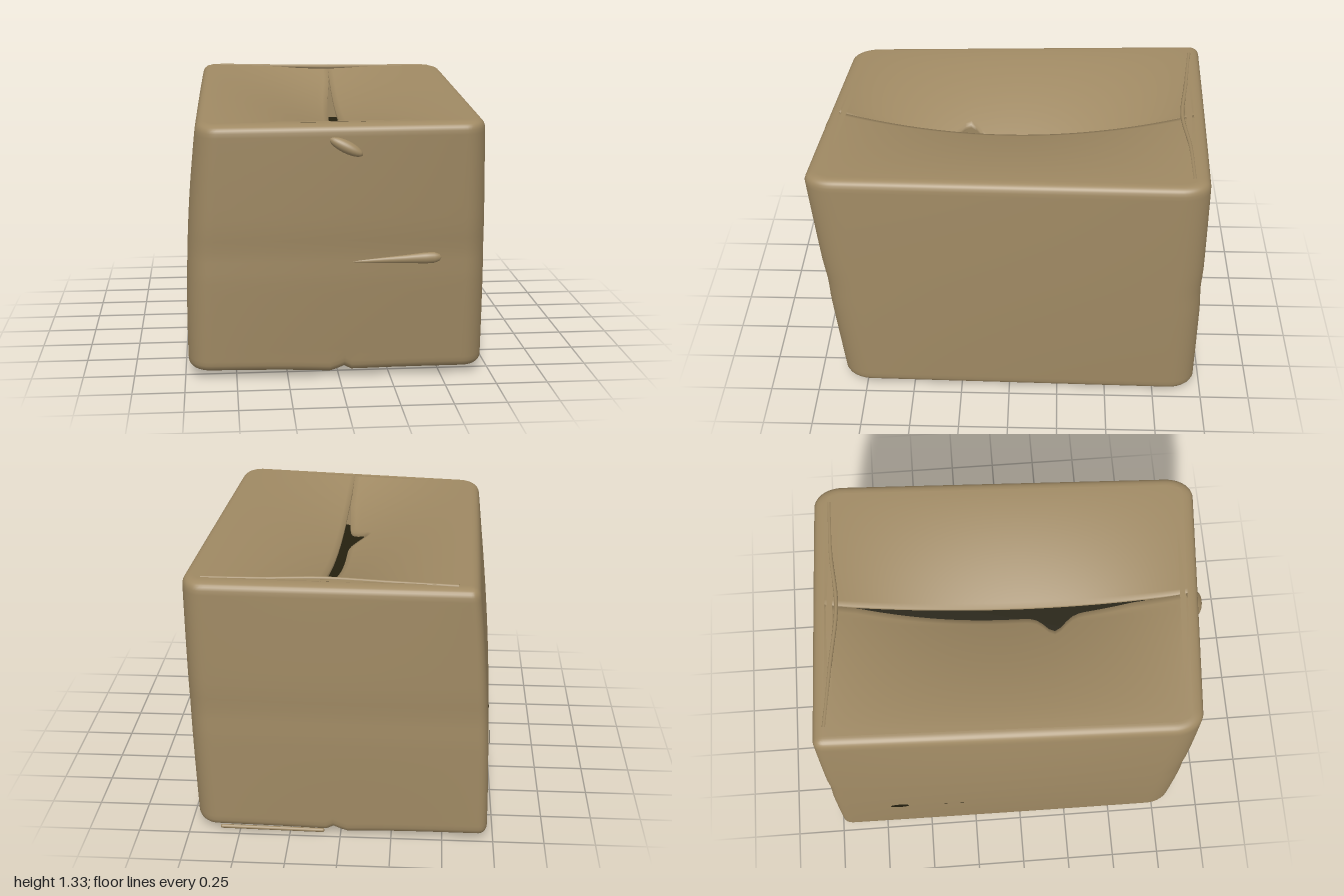
import * as THREE from 'three';
import { mergeVertices } from 'three/addons/utils/BufferGeometryUtils.js';

const V = (x, y, z) => new THREE.Vector3(x, y, z);

// Corners of the sagging carton, indexed by [bottom/top][back/front][-x/+x]
const CORNERS = [
  [[V(-0.72, 0.02, -0.995), V(0.72, 0.015, -0.965)], [V(-0.735, 0.04, 0.85), V(0.715, 0.035, 0.86)]],
  [[V(-0.64, 1.325, -1.0), V(0.755, 1.315, -0.955)], [V(-0.68, 1.258, 0.895), V(0.68, 1.28, 1.0)]],
];

// Maps the unit cube (-1..1) onto the warped carton
function warp(x, y, z) {
  // upright edges: crisp at the back -x corner, softly crushed at the others
  const R = x < 0 && z < 0 ? 0.06 : 0.15;
  const cx = (Math.abs(x) - 1 + R) / R, cz = (Math.abs(z) - 1 + R) / R;
  if (cx > 0 && cz > 0) {
    const k = Math.max(cx, cz) / Math.hypot(cx, cz);
    x = Math.sign(x) * (1 - R + R * cx * k);
    z = Math.sign(z) * (1 - R + R * cz * k);
  }
  const a = (x + 1) / 2, b = (y + 1) / 2, c = (z + 1) / 2;
  const plane = (p) => {
    const back = p[0][0].clone().lerp(p[0][1], a);
    return back.lerp(p[1][0].clone().lerp(p[1][1], a), c);
  };
  const p = plane(CORNERS[0]).lerp(plane(CORNERS[1]), b);
  // soft bulges and dents in the panels
  const sag = 1 - y * y;
  p.x += (x < 0 ? 0.034 : 0.012) * x * sag * (1 - 0.5 * z * z);
  p.z += 0.01 * z * sag * (1 - x * x) - 0.006 * z * Math.exp(-(((y + 0.02) / 0.12) ** 2));
  return p;
}

function smooth(geometry) {
  geometry.deleteAttribute('normal');
  geometry.deleteAttribute('uv');
  const g = mergeVertices(geometry, 1e-5);
  g.computeVertexNormals();
  return g;
}

// Rounded walls and floor, open on top inside a narrow rim
function bodyGeometry() {
  const g = new THREE.BoxGeometry(2, 2, 2, 64, 36, 56);
  const pos = g.attributes.position, unit = [], r = 0.065;
  for (let i = 0; i < pos.count; i++) {
    const p = V().fromBufferAttribute(pos, i);
    for (const k of ['x', 'y', 'z']) p[k] = Math.sin(p[k] * Math.PI / 2);
    unit.push(p.clone());
    // round the edges around the top and bottom
    const m = Math.max(Math.abs(p.x), Math.abs(p.z));
    const em = (m - 1 + r) / r, ey = (Math.abs(p.y) - 1 + r) / r;
    if (em > 0 && ey > 0) {
      const k = Math.max(em, ey) / Math.hypot(em, ey);
      const inset = (1 - r + r * em * k) / m;
      p.set(p.x * inset, Math.sign(p.y) * (1 - r + r * ey * k), p.z * inset);
    }
    const q = warp(p.x, p.y, p.z);
    // bottom flaps hang towards a seam, one a little lower than the other
    if (p.y < -0.9) {
      const s = p.x - 0.03;
      q.y += 0.025 * Math.exp(-((s / 0.04) ** 2)) - (s < 0 ? 0.02 : 0.01) * Math.exp(-3 * Math.abs(s));
    }
    pos.setXYZ(i, q.x, q.y, q.z);
  }
  const keep = [], idx = g.index.array;
  for (let i = 0; i < idx.length; i += 3) {
    const tri = [idx[i], idx[i + 1], idx[i + 2]];
    const open = tri.every((n) => unit[n].y > 0.999 && Math.abs(unit[n].x) < 0.92 && Math.abs(unit[n].z) < 0.92);
    if (!open) keep.push(...tri);
  }
  g.setIndex(keep);
  g.clearGroups();
  return smooth(g);
}

// Top flap from the side rim to the seam, dipping in the middle, with a short turned-down lip
function flapGeometry(side) {
  const nu = 24, nv = 60;
  const g = new THREE.PlaneGeometry(1, 1, nu, nv);
  const pos = g.attributes.position;
  for (let i = 0; i < pos.count; i++) {
    const col = i % (nu + 1), row = Math.floor(i / (nu + 1));
    const step = side < 0 ? col : nu - col;
    const t = Math.min(step / (nu - 1), 1);
    const z = -0.94 + 1.88 * row / nv;
    let seam = 0.05;
    if (side < 0) {
      const open = Math.max(0, (z + 0.78) * (0.66 - z)) / 0.52;
      seam -= 0.05 * open + 0.14 * Math.exp(-(((z - 0.25) / 0.07) ** 2));
    }
    const x = THREE.MathUtils.lerp(side * 0.93, seam, t);
    const p = warp(x, 1, z);
    const end = Math.max(0, 1 - (z / 0.94) ** 2);
    const inward = Math.min(1, 1 - (side * x) / 0.93);
    p.y += 0.003 - (side < 0 ? 0.2 : 0.14) * Math.pow(inward, 1.6) * end;
    if (step === nu) p.y -= 0.02;
    pos.setXYZ(i, p.x, p.y, p.z);
  }
  return smooth(g);
}

export function createModel() {
  const cardboard = new THREE.MeshStandardMaterial({ color: 0x9f8963, side: THREE.DoubleSide });
  const shadow = new THREE.MeshStandardMaterial({ color: 0x24200f, side: THREE.DoubleSide });
  const model = new THREE.Group();
  model.name = 'cardboardBox';
  const add = (name, geometry, material, at) => {
    const mesh = new THREE.Mesh(geometry, material);
    mesh.name = name;
    mesh.position.copy(at ?? V(0, 0, 0));
    model.add(mesh);
    return mesh;
  };

  add('boxBody', bodyGeometry(), cardboard);
  add('rightTopFlap', flapGeometry(-1), cardboard);
  add('leftTopFlap', flapGeometry(1), cardboard);

  // Dark inside seen through the slit
  add('interior', new THREE.BoxGeometry(0.4, 0.008, 1.5), shadow, V(0.08, 1.02, -0.04));

  // Low fold where the flaps meet the back wall, slanting in towards the seam
  const fold = [[-0.86, -0.94], [-0.4, -0.91], [0.05, -0.88], [0.45, -0.91], [0.86, -0.92]].map(([x, z]) => {
    const p = warp(x, 1, z);
    p.y -= 0.003;
    return p;
  });
  add('backFold', new THREE.TubeGeometry(new THREE.CatmullRomCurve3(fold), 32, 0.01, 8), cardboard);

  // Pinched crease across the front, widening towards its blunt end
  const taper = [[0.001, -0.32], [0.01, -0.16], [0.02, 0.03], [0.027, 0.13], [0.026, 0.17], [0.016, 0.195], [0.001, 0.203]];
  const crease = add('frontCrease', new THREE.LatheGeometry(taper.map(([r, y]) => new THREE.Vector2(r, y)), 20),
    cardboard, warp(0.4, -0.075, 1));
  crease.rotation.set(0, -0.055, -Math.PI / 2 + 0.05);
  crease.scale.z = 0.8;

  // Small peeled tab near the top of the front
  const tab = add('peeledTab', new THREE.SphereGeometry(1, 24, 16), cardboard, warp(0.03, 0.83, 1));
  tab.scale.set(0.088, 0.03, 0.032);
  tab.rotation.set(0, -0.2, -0.45);

  // Ragged hem under the back edge
  const hem = add('bottomHem', new THREE.CapsuleGeometry(0.01, 0.5, 4, 8), cardboard, V(0.34, 0.01, -0.955));
  hem.rotation.set(0, -0.02, Math.PI / 2);

  // Punctures in the side wall
  for (const [y, z, r] of [[-0.42, -0.63, 0.05], [-0.42, -0.36, 0.01], [-0.42, -0.27, 0.012]]) {
    const hole = add('puncture', new THREE.CircleGeometry(r, 12), shadow, warp(-1, y, z));
    hole.position.x -= 0.005;
    hole.rotation.set(0, -Math.PI / 2, 0);
    hole.scale.y = 0.55;
  }

  return model;
}
